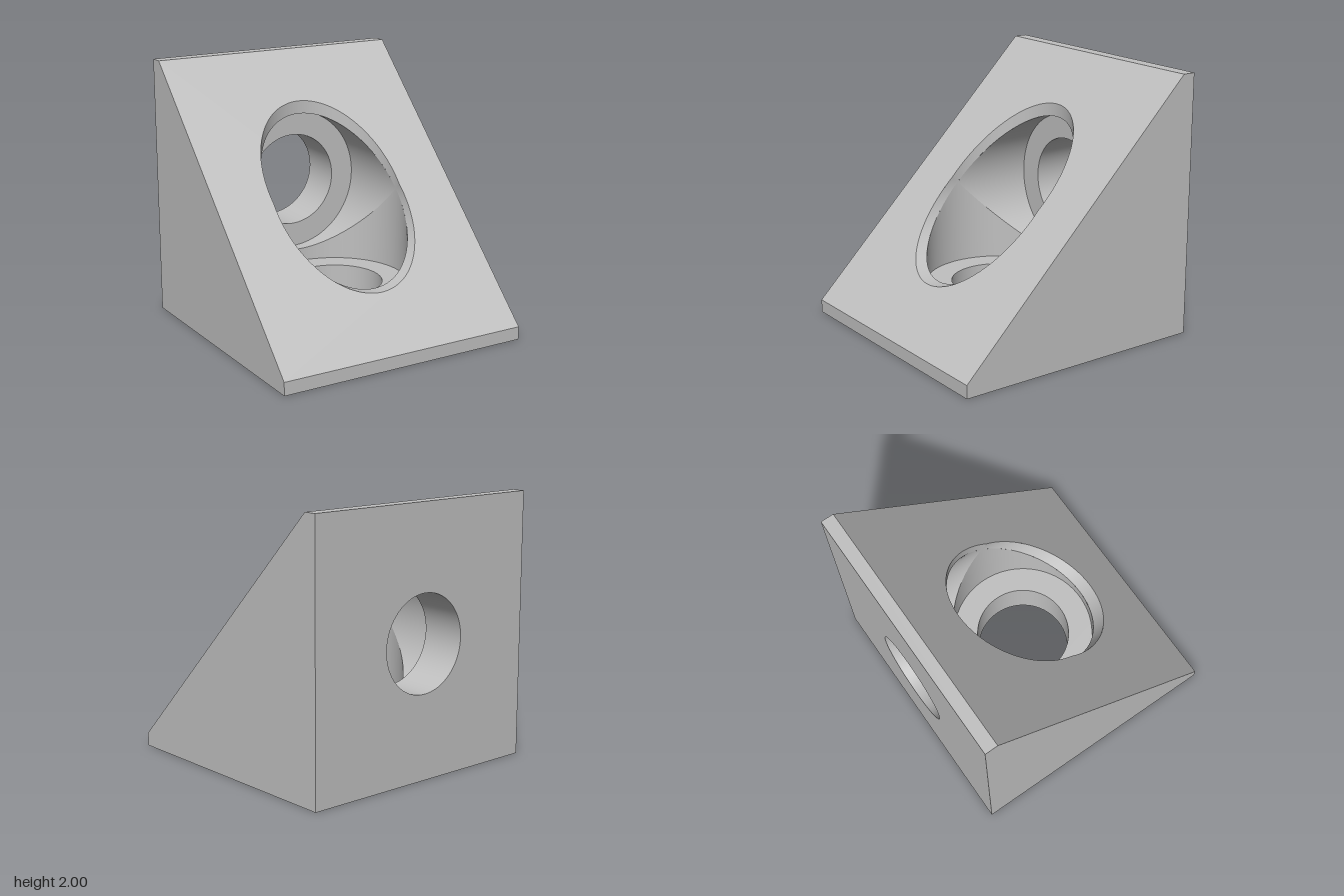
import * as THREE from 'three';

const R = 0.55;       // counterbore radius
const HOLE = 0.3625;  // through-hole radius
const FLOOR = -0.65;  // counterbore seat depth
const LIP = 0.1;      // width of the blunt edges; slope is y + z = LIP
const SEG = 96;

// Reverses the facing of a geometry
function flip(geo) {
  const idx = geo.index.array;
  for (let i = 0; i < idx.length; i += 3) [idx[i + 1], idx[i + 2]] = [idx[i + 2], idx[i + 1]];
  const n = geo.attributes.normal;
  for (let i = 0; i < n.count; i++) n.setXYZ(i, -n.getX(i), -n.getY(i), -n.getZ(i));
  return geo;
}

// Mirrors a geometry across the y = z plane, keeping its facing
function swapYZ(source) {
  const geo = source.clone();
  for (const name of ['position', 'normal']) {
    const a = geo.attributes[name];
    for (let i = 0; i < a.count; i++) a.setXYZ(i, a.getX(i), a.getZ(i), a.getY(i));
  }
  const idx = geo.index.array;
  for (let i = 0; i < idx.length; i += 3) [idx[i + 1], idx[i + 2]] = [idx[i + 2], idx[i + 1]];
  return geo;
}

// Inward-facing cylinder wall along z between two height rules
function boreWall(radius, t0, t1, segments, lo, hi) {
  const pos = [], nor = [], idx = [];
  for (let i = 0; i <= segments; i++) {
    const t = t0 + (t1 - t0) * i / segments, c = Math.cos(t), s = Math.sin(t);
    pos.push(radius * c, radius * s, lo(s), radius * c, radius * s, hi(s));
    nor.push(-c, -s, 0, -c, -s, 0);
    if (i < segments) {
      const k = i * 2;
      idx.push(k, k + 3, k + 2, k, k + 1, k + 3);
    }
  }
  const geo = new THREE.BufferGeometry();
  geo.setAttribute('position', new THREE.Float32BufferAttribute(pos, 3));
  geo.setAttribute('normal', new THREE.Float32BufferAttribute(nor, 3));
  geo.setIndex(idx);
  return geo;
}

const polygon = (pts) => new THREE.Shape(pts.map(([a, b]) => new THREE.Vector2(a, b)));
const rect = (x0, y0, x1, y1) => polygon([[x0, y0], [x1, y0], [x1, y1], [x0, y1]]);
const circle = (r) => new THREE.Path().absarc(0, 0, r, 0, Math.PI * 2, false);
const plate = (shape) => new THREE.ShapeGeometry(shape, SEG / 2);

// Sloping face, pierced by the joined outline of both counterbores
function slopeFace() {
  const a = Math.asin(LIP / 2 / R);
  const pts = [];
  const arc = (t0, t1, cy) => {
    for (let i = 0; i < SEG; i++) {
      const t = t0 + (t1 - t0) * i / SEG;
      pts.push(new THREE.Vector2(R * Math.cos(t), cy + R * Math.sin(t)));
    }
  };
  arc(-a, Math.PI + a, LIP);
  arc(Math.PI - a, Math.PI * 2 + a, 0);
  const shape = rect(-1, LIP - 1, 1, 1);
  shape.holes.push(new THREE.Path(pts));
  const geo = plate(shape);
  const p = geo.attributes.position;
  for (let i = 0; i < p.count; i++) p.setZ(i, LIP - p.getY(i));
  geo.computeVertexNormals();
  return geo;
}

export function createModel() {
  const model = new THREE.Group();
  model.name = 'cornerBracket';
  const grey = new THREE.MeshStandardMaterial({ color: 0xc0c0c0 });
  grey.name = 'lightGrey';

  const add = (name, geo) => {
    const mesh = new THREE.Mesh(geo, grey);
    mesh.name = name;
    mesh.position.y = 1;
    model.add(mesh);
  };
  const addPair = (nameA, nameB, geo) => {
    add(nameA, geo);
    add(nameB, swapYZ(geo));
  };

  add('slopeFace', slopeFace());

  // Triangular sides
  const side = plate(polygon([[-1, -1], [1, -1], [1, LIP - 1], [LIP - 1, 1], [-1, 1]]));
  side.rotateY(-Math.PI / 2).translate(-1, 0, 0);
  add('rightSide', side);
  add('leftSide', flip(side.clone().translate(2, 0, 0)));

  // Mounting faces with their through holes
  const mount = rect(-1, -1, 1, 1);
  mount.holes.push(circle(HOLE));
  addPair('backFace', 'bottomFace', flip(plate(mount)).translate(0, 0, -1));
  addPair('backHole', 'bottomHole',
    boreWall(HOLE, 0, Math.PI * 2, SEG, () => -1, () => FLOOR));

  // Blunt edges
  addPair('frontEdge', 'topEdge', plate(rect(-1, -1, 1, LIP - 1)).translate(0, 0, 1));

  // Counterbore seats
  const seat = new THREE.Shape().absarc(0, 0, R, 0, Math.PI * 2, false);
  seat.holes.push(circle(HOLE));
  addPair('backSeat', 'bottomSeat', plate(seat).translate(0, 0, FLOOR));

  // Counterbore walls, trimmed where the two bores cross
  const cross = (s) => R * Math.abs(s);
  const slope = (s) => LIP - R * s;
  addPair('backBoreWall', 'bottomBoreWall',
    boreWall(R, 0, Math.PI * 2, SEG, () => FLOOR, (s) => -cross(s)));
  const a = Math.asin(LIP / 2 / R), PI = Math.PI;
  for (const [t0, t1, n] of [[PI - a, PI, 4], [PI, PI * 2, SEG], [PI * 2, PI * 2 + a, 4]]) {
    addPair('lowerBoreRim', 'upperBoreRim', boreWall(R, t0, t1, n, cross, slope));
  }
  return model;
}
